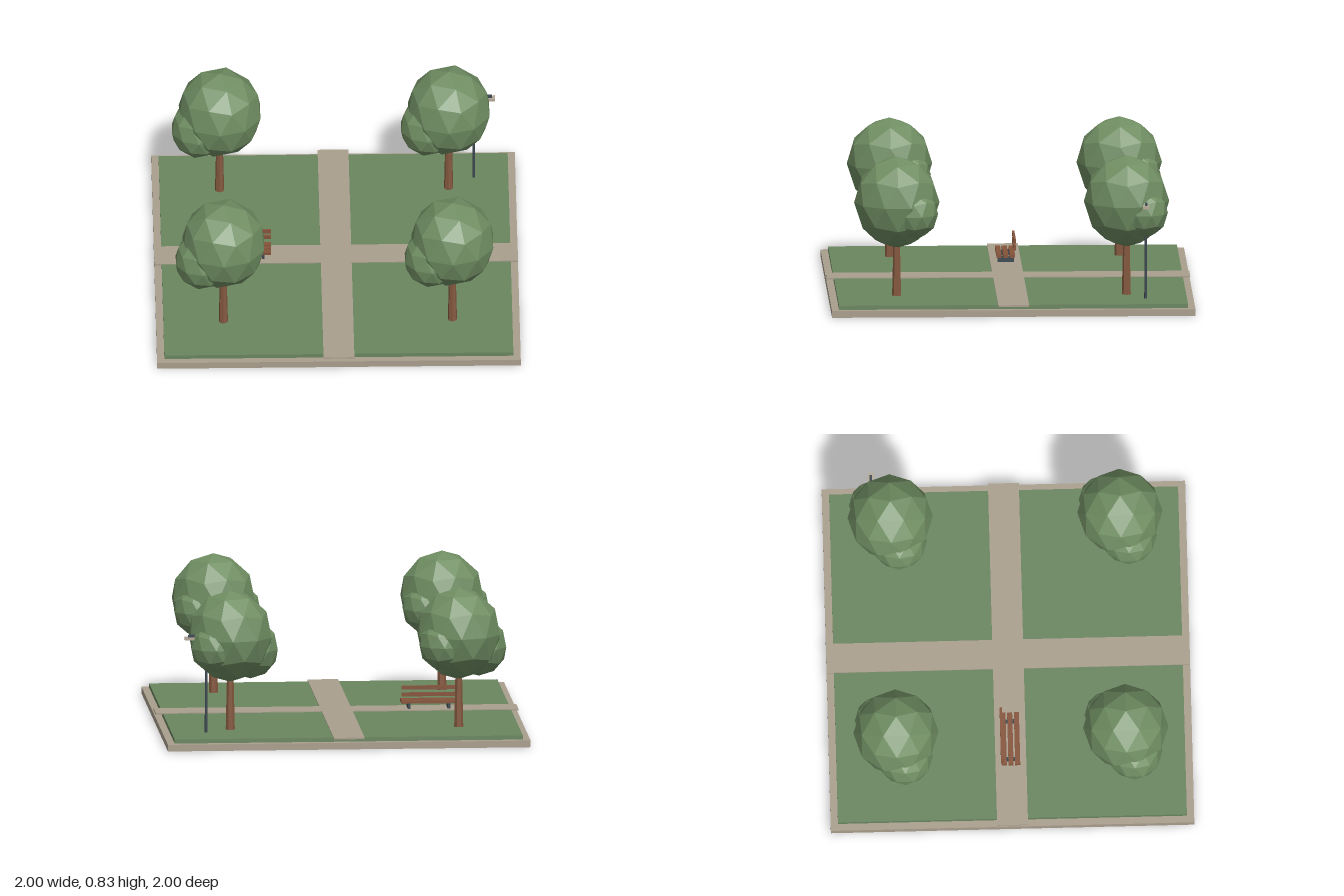
import * as THREE from 'three';

const mat = (name, color) => {
  const m = new THREE.MeshStandardMaterial({ color });
  m.name = name;
  return m;
};

export function createModel() {
  const park = new THREE.Group();
  park.name = 'park';
  const stone = mat('stone', 0xaa9f8e);
  const grass = mat('grass', 0x6a8660);
  const leaf = mat('leaf', 0x6f8d62);
  const bark = mat('bark', 0x85593f);
  const wood = mat('wood', 0x85543a);
  const metal = mat('metal', 0x3d4851);
  const lampGlass = mat('lampGlass', 0xb5aa98);

  const add = (parent, name, geo, material, x, y, z) => {
    const m = new THREE.Mesh(geo, material);
    m.name = name;
    m.position.set(x, y, z);
    parent.add(m);
    return m;
  };
  const box = (parent, name, material, w, h, d, x, y, z) =>
    add(parent, name, new THREE.BoxGeometry(w, h, d), material, x, y, z);
  const faceted = (geo) => {
    const g = geo.index ? geo.toNonIndexed() : geo;
    g.computeVertexNormals();
    return g;
  };

  // Ground: curb slab, lawn and crossing paths
  box(park, 'curb', stone, 2, 0.037, 2, 0, 0.0185, 0);
  box(park, 'lawn', grass, 1.92, 0.025, 1.92, 0, 0.0475, 0);
  box(park, 'pathAcross', stone, 2, 0.009, 0.17, 0, 0.0605, 0);
  for (const s of [-1, 1]) {
    box(park, 'pathAlong', stone, 0.17, 0.009, 0.915, 0, 0.0605, s * 0.5425);
  }

  // Trees: tapered trunk and three faceted leaf masses with a vertex at the top
  const leafMass = (r, h) => {
    const g = new THREE.IcosahedronGeometry(1, 1);
    g.rotateZ(-Math.atan(2 / (1 + Math.sqrt(5))));
    g.scale(r, h, r);
    return faceted(g);
  };
  const trunkGeo = faceted(new THREE.CylinderGeometry(0.018, 0.026, 0.34, 7));
  const crownGeo = leafMass(0.235, 0.255);
  const lowLobeGeo = leafMass(0.155, 0.165);
  const sideLobeGeo = leafMass(0.135, 0.14);
  for (const x of [-0.63, 0.63]) {
    for (const z of [-0.632, 0.632]) {
      const tree = new THREE.Group();
      tree.name = 'tree';
      tree.position.set(x, 0, z);
      add(tree, 'trunk', trunkGeo, bark, 0, 0.225, 0);
      add(tree, 'crown', crownGeo, leaf, 0, 0.58, 0);
      add(tree, 'lowLobe', lowLobeGeo, leaf, -0.115, 0.5, 0.045);
      add(tree, 'sideLobe', sideLobeGeo, leaf, 0.092, 0.53, -0.09);
      park.add(tree);
    }
  }

  // Bench: three seat slats, two back slats and two legs
  const bench = new THREE.Group();
  bench.name = 'bench';
  bench.position.set(-0.51, 0, 0);
  for (const z of [-0.037, 0, 0.037]) {
    box(bench, 'seatSlat', wood, 0.305, 0.016, 0.028, 0, 0.103, z);
  }
  for (const y of [0.147, 0.185]) {
    box(bench, 'backSlat', wood, 0.305, 0.021, 0.013, 0, y, -0.049);
  }
  for (const s of [-1, 1]) {
    box(bench, 'leg', metal, 0.014, 0.032, 0.09, s * 0.11, 0.08, 0);
  }
  park.add(bench);

  // Street lamp: pole, arm and head
  const lamp = new THREE.Group();
  lamp.name = 'lamp';
  lamp.position.set(0.77, 0, -0.733);
  add(lamp, 'pole', new THREE.CylinderGeometry(0.006, 0.008, 0.54, 8), metal, 0, 0.33, 0);
  box(lamp, 'arm', metal, 0.105, 0.013, 0.014, 0.048, 0.598, 0);
  box(lamp, 'head', lampGlass, 0.056, 0.017, 0.036, 0.089, 0.584, 0);
  park.add(lamp);

  return park;
}
